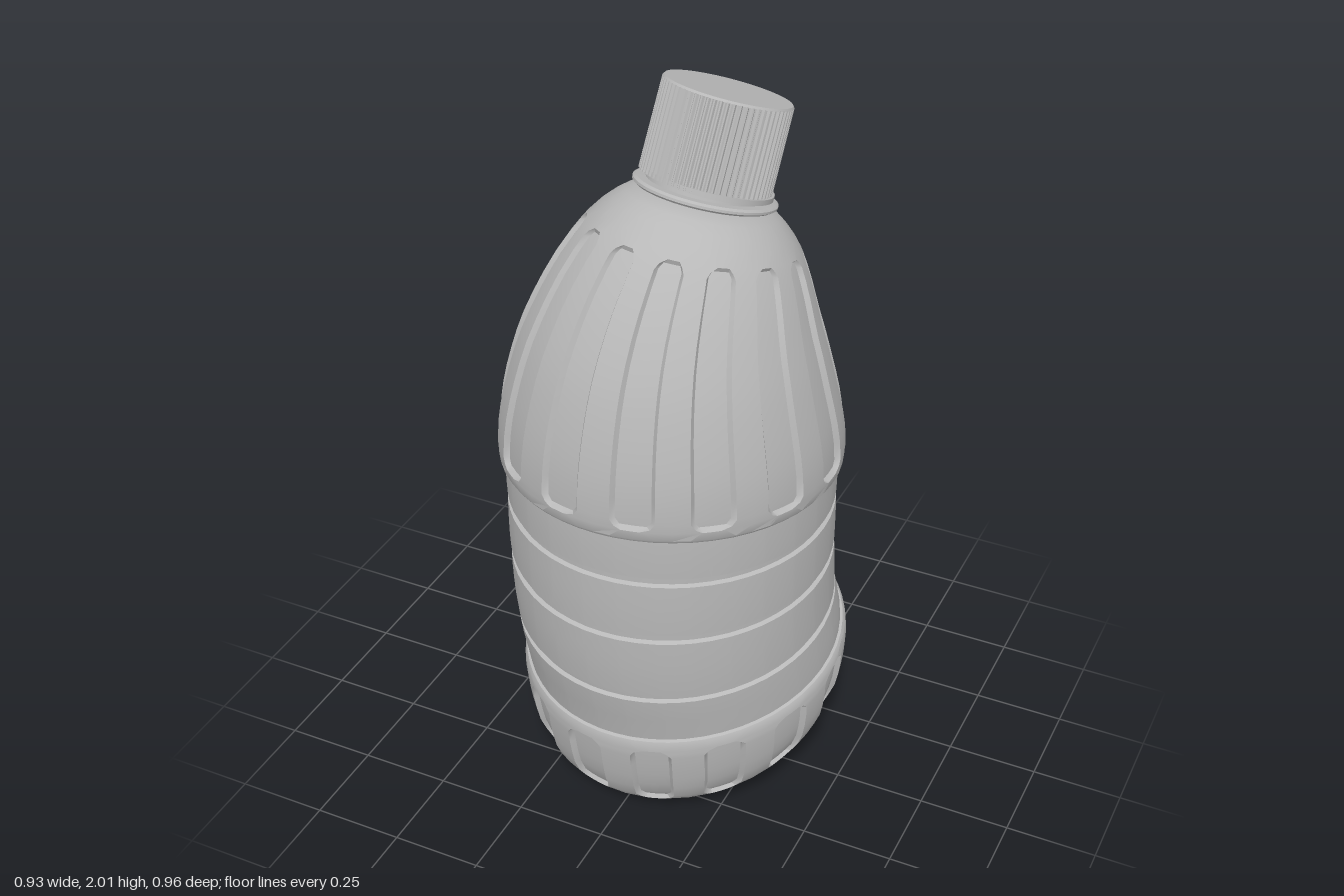
import * as THREE from 'three';
import { toCreasedNormals } from 'three/addons/utils/BufferGeometryUtils.js';

// Bent spine: height s -> centre x, y, z and slope of the section plane along x and z
const SPINE = [
  [0.085, 0.005, 0.085, -0.04, 0.06, -0.29],
  [0.36, 0.006, 0.36, -0.024, 0.055, -0.17],
  [0.52, -0.004, 0.52, 0.008, 0.02, -0.13],
  [0.71, -0.008, 0.71, 0.022, 0, -0.06],
  [0.87, -0.008, 0.87, 0.025, 0, -0.01],
  [1.0, -0.008, 1.0, 0.026, 0, 0.018],
  [1.4, 0.0, 1.4, 0.01, -0.03, 0.12],
  [1.72, 0.038, 1.72, -0.085, -0.11, 0.31],
  [1.95, 0.06, 1.945, -0.16, -0.125, 0.34],
];
const spine = new THREE.CubicInterpolant(SPINE.map(k => k[0]), SPINE.flatMap(k => k.slice(1)), 5);

function frame(s) {
  const [x, y, z, sx, sz] = spine.evaluate(s);
  const u = new THREE.Vector3(1, sx, 0).normalize();
  const v = new THREE.Vector3(0, sz, 1).normalize();
  return { c: new THREE.Vector3(x, y, z), u, v };
}

const SLOTS = 14, PERIOD = Math.PI * 2 / SLOTS, HALF = 0.105, EDGE = 0.022;

// Rows are [s, radius, slot width factor, slot depth, lift of every second slot]
function sweep(rows) {
  const pos = [], index = [], n = SLOTS * 6;
  for (const [s, r, wf = 1, depth = 0, lift = 0] of rows) {
    const w = HALF * wf;
    const cols = [[-w - EDGE, 0], [-w, 1], [0, 1], [w, 1], [w + EDGE, 0], [PERIOD / 2, 0]];
    for (let k = 0; k < SLOTS; k++) {
      for (const [offset, inside] of cols) {
        const a = k * PERIOD + offset;
        const { c, u, v } = frame(s + (k % 2 ? 0 : inside * lift));
        const rr = r - inside * depth;
        c.addScaledVector(u, rr * Math.cos(a)).addScaledVector(v, rr * Math.sin(a));
        pos.push(c.x, c.y, c.z);
      }
    }
  }
  for (let i = 0; i < rows.length - 1; i++) {
    for (let j = 0; j < n; j++) {
      const a = i * n + j, b = i * n + (j + 1) % n;
      index.push(a, a + n, b, b, a + n, b + n);
    }
  }
  const g = new THREE.BufferGeometry();
  g.setAttribute('position', new THREE.Float32BufferAttribute(pos, 3));
  g.setIndex(index);
  return toCreasedNormals(g, 0.6);
}

export function createModel() {
  const group = new THREE.Group();
  group.name = 'bottle';
  const plastic = new THREE.MeshStandardMaterial({ color: 0xb8b8b8 });
  plastic.name = 'grey plastic';
  const add = (name, geometry) => {
    const mesh = new THREE.Mesh(geometry, plastic);
    mesh.name = name;
    group.add(mesh);
    return mesh;
  };

  // Base: hollow underside with radial creases, rounded rim, slotted bumper
  const d = 0.014;
  add('base', sweep([
    [0.2, 0], [0.198, 0.03, 0.5], [0.19, 0.09, 0.4, 0, 0.008], [0.17, 0.16, 0.35, 0, 0.008],
    [0.14, 0.215, 0.3, 0, 0.008], [0.11, 0.255, 0.3, 0, 0.008], [0.092, 0.285, 0.3, 0, 0.008],
    [0.087, 0.315, 0.3, 0, 0.008], [0.093, 0.35, 0.3], [0.112, 0.385, 0.3],
    [0.135, 0.409, 0.4], [0.143, 0.415, 0.7, d], [0.16, 0.426, 1, d], [0.2, 0.442, 1, d],
    [0.24, 0.45, 1, d], [0.28, 0.455, 1, d], [0.315, 0.457, 1, d], [0.328, 0.457, 0.75, d],
    [0.336, 0.456, 0.4], [0.352, 0.454], [0.362, 0.448], [0.366, 0.432],
  ]));

  // Label section: plain bands separated by narrow grooves
  const bands = [[0.366, 0.505], [0.53, 0.69], [0.715, 0.855], [0.88, 1.0]];
  const body = [];
  for (const [lo, hi] of bands) {
    body.push([lo - 0.004, 0.43], [lo, 0.441]);
    for (let t = 0.25; t < 1; t += 0.25) body.push([lo + (hi - lo) * t, 0.442]);
    body.push([hi, 0.441], [hi + 0.004, 0.43]);
  }
  add('labelSection', sweep(body));

  // Shoulder: dome with long slots, running into the neck
  add('shoulder', sweep([
    [0.99, 0.435], [0.991, 0.45], [1.0, 0.457], [1.022, 0.459, 0.4],
    [1.03, 0.459, 0.75, d], [1.045, 0.459, 1, d], [1.1, 0.455, 1, d], [1.15, 0.447, 1, d],
    [1.2, 0.436, 1, d], [1.25, 0.423, 1, d], [1.3, 0.409, 1, d], [1.35, 0.393, 1, d],
    [1.4, 0.374, 1, d], [1.45, 0.354, 1, d], [1.5, 0.332, 1, d], [1.55, 0.306, 1, d],
    [1.58, 0.288, 1, d], [1.592, 0.28, 0.75, d], [1.602, 0.273, 0.4],
    [1.63, 0.25], [1.655, 0.224], [1.675, 0.198], [1.685, 0.175], [1.69, 0.155], [1.74, 0.152],
  ]));

  // Neck ring
  add('neckRing', sweep([
    [1.695, 0.15], [1.696, 0.178], [1.701, 0.185], [1.707, 0.185], [1.712, 0.178], [1.713, 0.15],
  ]));

  // Cap: cylinder with fine grip ridges on its side
  const ridges = 64, h = 0.235;
  const capGeo = new THREE.CylinderGeometry(0.168, 0.171, h, ridges * 4, 1);
  const p = capGeo.attributes.position;
  for (let i = 0; i < p.count; i++) {
    const a = Math.atan2(p.getZ(i), p.getX(i));
    const step = Math.round(((a / (Math.PI * 2)) + 1) * ridges * 4) % 4;
    const k = step < 2 ? 1 : 0.965;
    p.setX(i, p.getX(i) * k);
    p.setZ(i, p.getZ(i) * k);
  }
  const cap = add('cap', toCreasedNormals(capGeo, 0.3));
  const top = frame(1.95), low = frame(1.72);
  const axis = new THREE.Vector3().crossVectors(top.v, top.u).normalize();
  cap.quaternion.setFromUnitVectors(new THREE.Vector3(0, 1, 0), axis);
  cap.position.copy(top.c).addScaledVector(axis, -h / 2);

  // Rounded top edge of the cap and the collar beneath it
  const lid = add('capTop', new THREE.CylinderGeometry(0.164, 0.168, 0.006, 64));
  lid.quaternion.copy(cap.quaternion);
  lid.position.copy(top.c).addScaledVector(axis, 0.002);
  const collar = add('capCollar', new THREE.CylinderGeometry(0.171, 0.171, 0.014, 64));
  collar.quaternion.copy(cap.quaternion);
  collar.position.copy(low.c).addScaledVector(axis, 0.008);
  return group;
}
